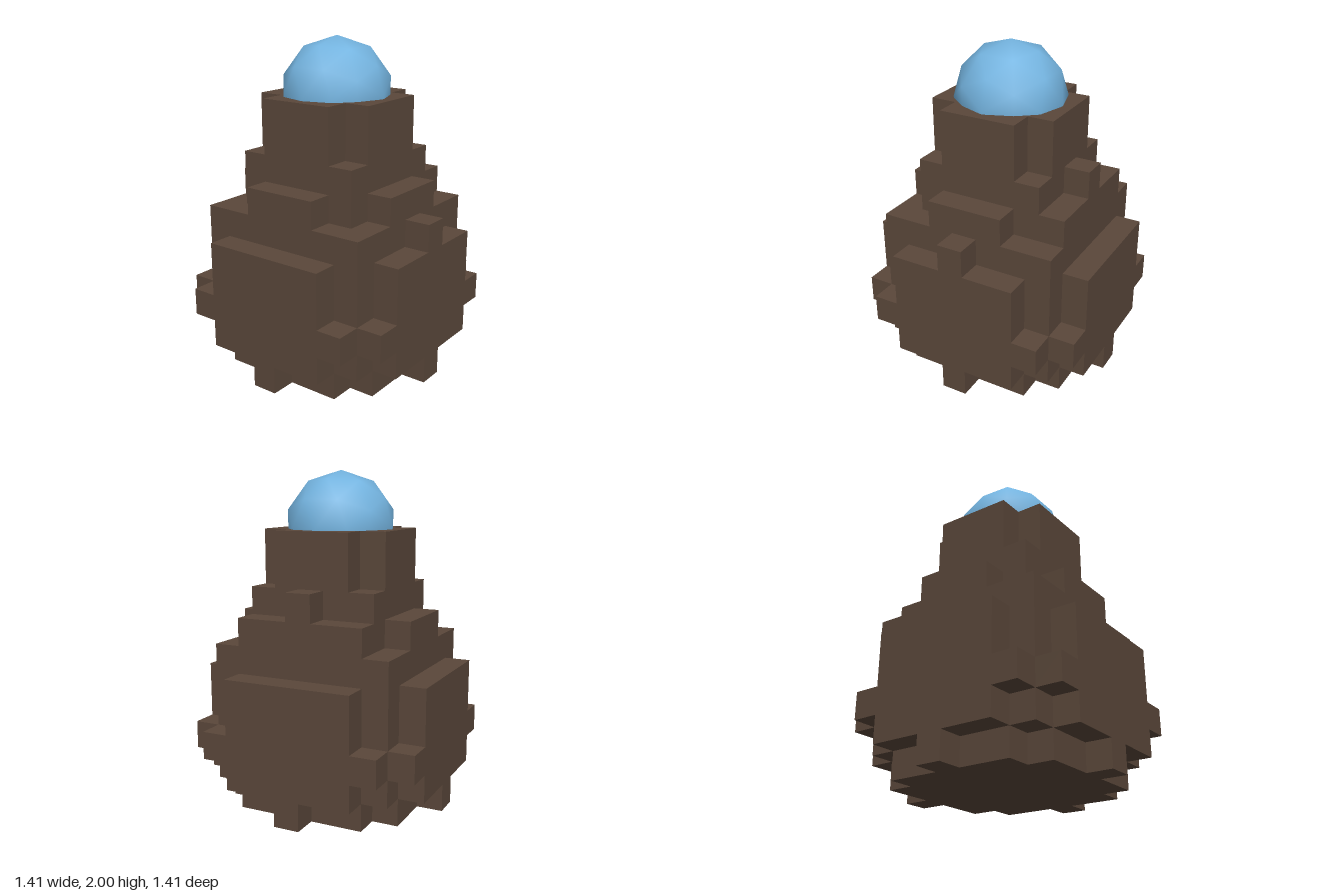
import * as THREE from 'three';

// Block cell: width in x and z, height in y
const W = 0.1572, H = 0.1655;

export function createModel() {
  const model = new THREE.Group();
  const brown = new THREE.MeshStandardMaterial({ color: 0x5a473a });
  brown.name = 'earth brown';
  const blue = new THREE.MeshStandardMaterial({ color: 0x74b4e0 });
  blue.name = 'sky blue';

  // Box in whole cells: centre x and z, size in x and z, first and last layer
  function block(parent, name, cx, cz, nx, nz, first, last = first) {
    const n = last - first + 1;
    const mesh = new THREE.Mesh(new THREE.BoxGeometry(nx * W, n * H, nz * W), brown);
    mesh.position.set(cx * W, (first + n / 2) * H, cz * W);
    mesh.name = name;
    parent.add(mesh);
  }

  // Solid middle, from the ground up
  block(model, 'baseCore', 0, 0, 5, 5, 0);
  block(model, 'bodyCore', 0, 0, 7, 7, 1, 5);
  block(model, 'neck', 0, 0, 5, 5, 6, 7);
  block(model, 'collarCore', 0, 0, 3, 3, 8, 9);

  // Layers stepping out on each side: front, left, back, right
  ['front', 'left', 'back', 'right'].forEach((side, i) => {
    const group = new THREE.Group();
    group.name = side + 'Side';
    group.rotation.y = i * Math.PI / 2;
    block(group, 'foot', 0, 4, 1, 1, 0);
    block(group, 'baseEdge', 0, 3, 5, 1, 0);
    block(group, 'bellyPlate', 0, 4, 5, 1, 1, 4);
    for (const x of [-3, 3]) block(group, 'bellyTab', x, 4, 1, 1, 2);
    block(group, 'shoulderLedge', 0, 3, side === 'left' ? 5 : 3, 1, 6);
    block(group, 'collarEdge', 0, 2, 3, 1, 8, 9);
    if (side === 'front') block(group, 'bellyKnob', 0, 4, 1, 1, 5);
    if (side === 'left') block(group, 'shoulderKnob', 0, 3, 1, 1, 7);
    model.add(group);
  });

  // Faceted, smoothly shaded ball set into the collar
  const dome = new THREE.Mesh(new THREE.IcosahedronGeometry(0.335, 1), blue);
  dome.position.y = 1.665;
  dome.name = 'dome';
  model.add(dome);

  return model;
}
